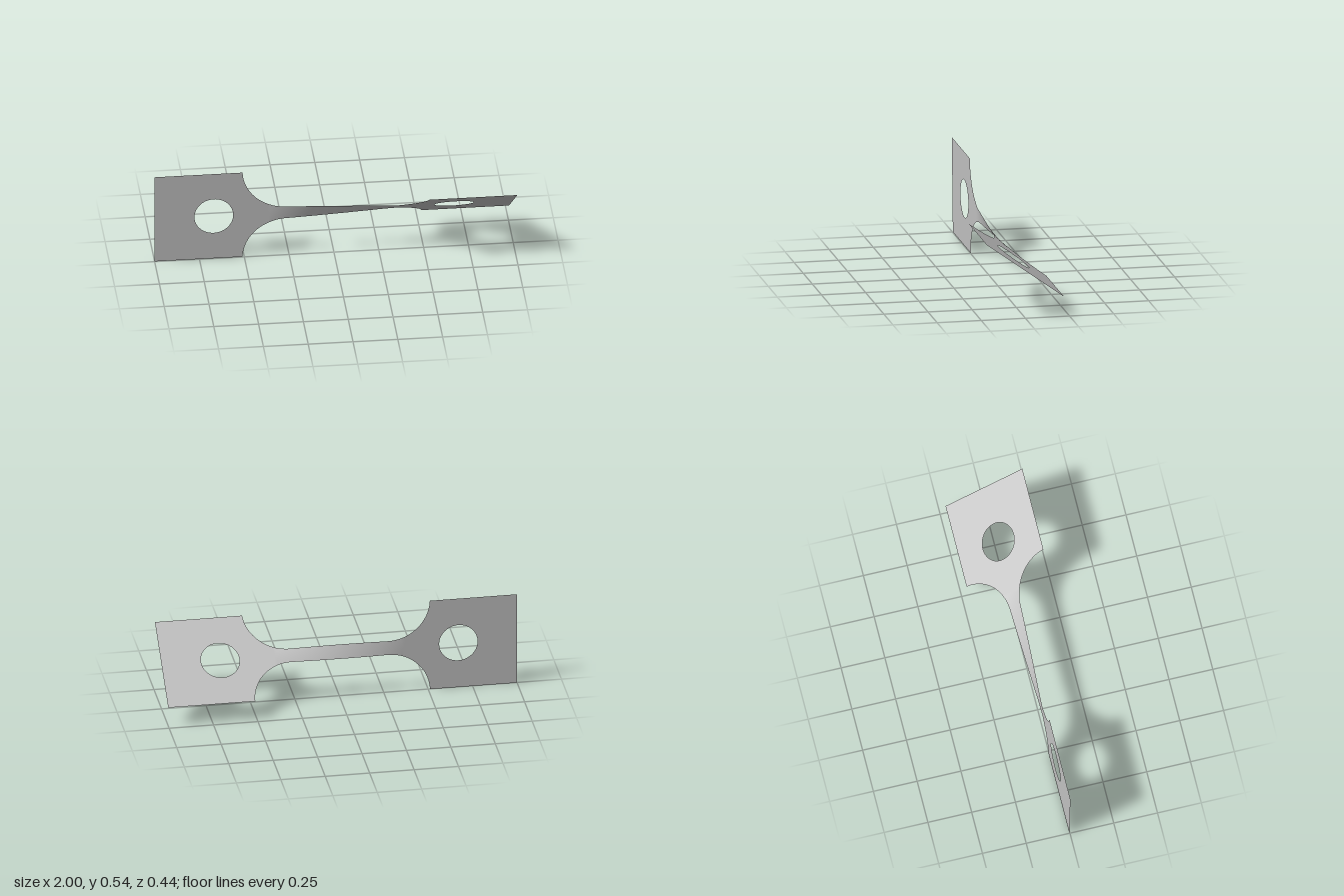
import * as THREE from 'three';

const CENTER_Y = 0.271;
const HALF = 0.271; // half width of the end plates
const NECK_END = 0.51; // where the fillets meet the plates
const START = THREE.MathUtils.degToRad(0.6);
const END = THREE.MathUtils.degToRad(54);

// Twist angle along the bar: constant at the plates, linear along the neck
const twist = (x) => START + (END - START) * THREE.MathUtils.clamp((x + 0.36) / 0.72, 0, 1);

// Half width along the bar: slim gauge section with circular fillets
function halfWidth(x) {
  const r = 0.24, d = Math.max(Math.abs(x) - 0.27, 0);
  return Math.min(HALF, 0.28 - Math.sqrt(Math.max(r * r - d * d, 0)));
}

export function createModel() {
  const group = new THREE.Group();
  group.name = 'twistedTestStrip';
  const metal = new THREE.MeshStandardMaterial({ color: 0xc0c0c0, side: THREE.DoubleSide });
  metal.name = 'grey metal';

  // Flat end plates, each with a round bolt hole
  for (const [name, side] of [['rightEndPlate', -1], ['leftEndPlate', 1]]) {
    const x0 = side < 0 ? -1 : NECK_END;
    const x1 = side < 0 ? -NECK_END : 1;
    const shape = new THREE.Shape([
      new THREE.Vector2(x0, -HALF), new THREE.Vector2(x1, -HALF),
      new THREE.Vector2(x1, HALF), new THREE.Vector2(x0, HALF),
    ]);
    const hole = new THREE.Path();
    hole.absarc(side * 0.67, 0.001, 0.108, 0, Math.PI * 2, true);
    shape.holes.push(hole);
    const plate = new THREE.Mesh(new THREE.ShapeGeometry(shape, 48), metal);
    plate.name = name;
    plate.position.y = CENTER_Y;
    plate.rotation.x = twist(side);
    group.add(plate);
  }

  // Twisted neck: a strip narrowed by the fillet profile and turned about x
  const geo = new THREE.PlaneGeometry(2, 2, 160, 10);
  const pos = geo.attributes.position;
  for (let i = 0; i < pos.count; i++) {
    // Sine spacing packs more sections into the steep fillet ends
    const x = NECK_END * Math.sin(pos.getX(i) * Math.PI / 2);
    const v = pos.getY(i) * halfWidth(x);
    const a = twist(x);
    pos.setXYZ(i, x, v * Math.cos(a), v * Math.sin(a));
  }
  geo.computeVertexNormals();
  const neck = new THREE.Mesh(geo, metal);
  neck.name = 'twistedNeck';
  neck.position.y = CENTER_Y;
  group.add(neck);

  return group;
}
